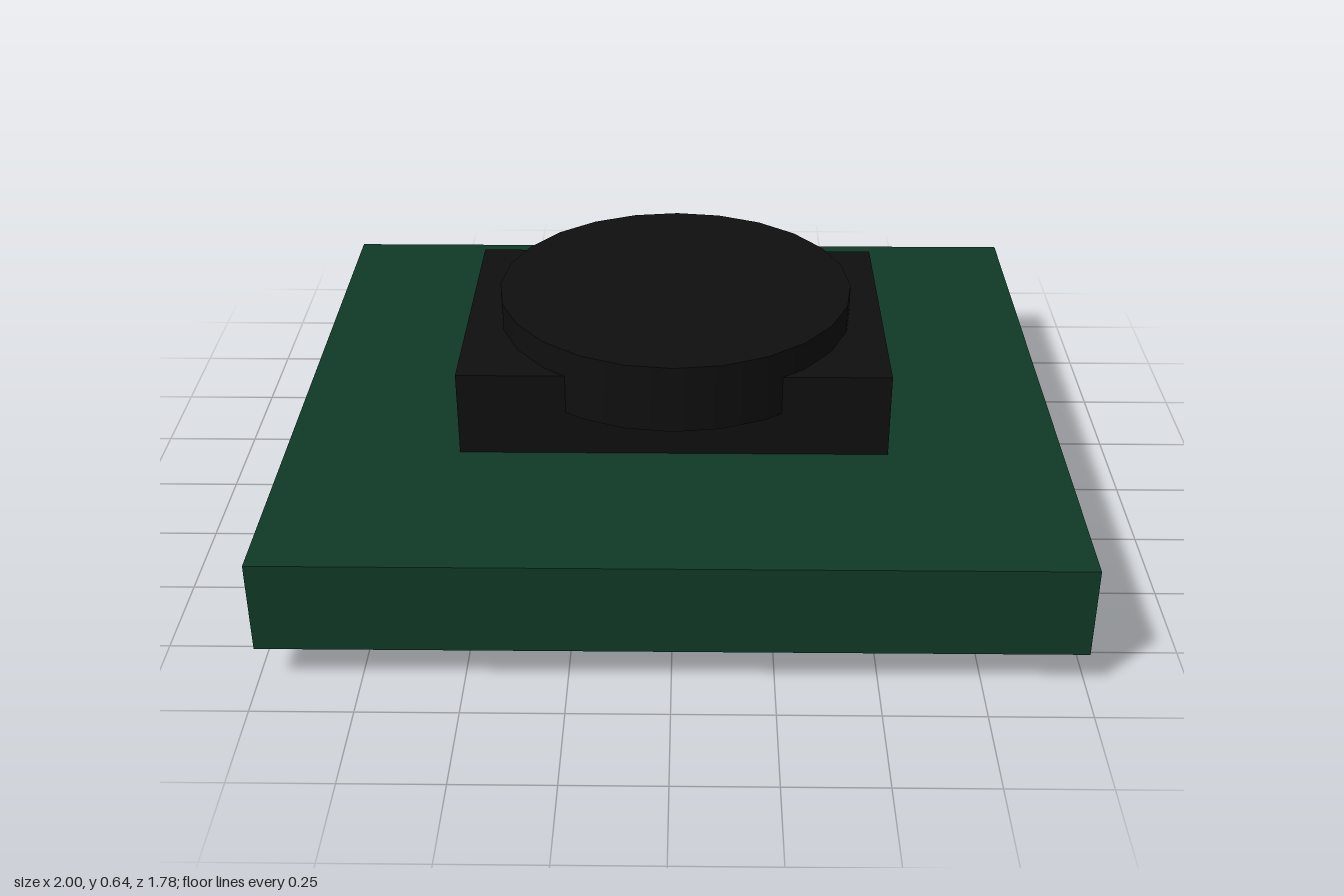
import * as THREE from 'three';

export function createModel() {
  const model = new THREE.Group();
  model.name = 'sensorBoard';

  const material = (name, color) => {
    const m = new THREE.MeshStandardMaterial({ color });
    m.name = name;
    return m;
  };
  const green = material('boardGreen', 0x103a27);
  const black = material('housingBlack', 0x0f0f0f);
  const gold = material('pinGold', 0xcf9d3d);

  const add = (name, geometry, mat, x, y, z) => {
    const mesh = new THREE.Mesh(geometry, mat);
    mesh.name = name;
    mesh.position.set(x, y, z);
    model.add(mesh);
  };

  // Circuit board
  add('board', new THREE.BoxGeometry(2, 0.24, 1.78), green, 0, 0.22, 0);

  // Rectangular housing with a round cap overhanging front and back
  add('housing', new THREE.BoxGeometry(1.1, 0.225, 0.746), black, 0, 0.4525, 0);
  add('cap', new THREE.CylinderGeometry(0.467, 0.467, 0.18, 24), black, 0, 0.55, 0);

  // Row of four pins under the back edge
  const pin = new THREE.BoxGeometry(0.11, 0.1, 0.11);
  for (let i = 0; i < 4; i++) {
    add('pin' + (i + 1), pin, gold, (i - 1.5) * 0.378, 0.05, -0.655);
  }

  return model;
}
